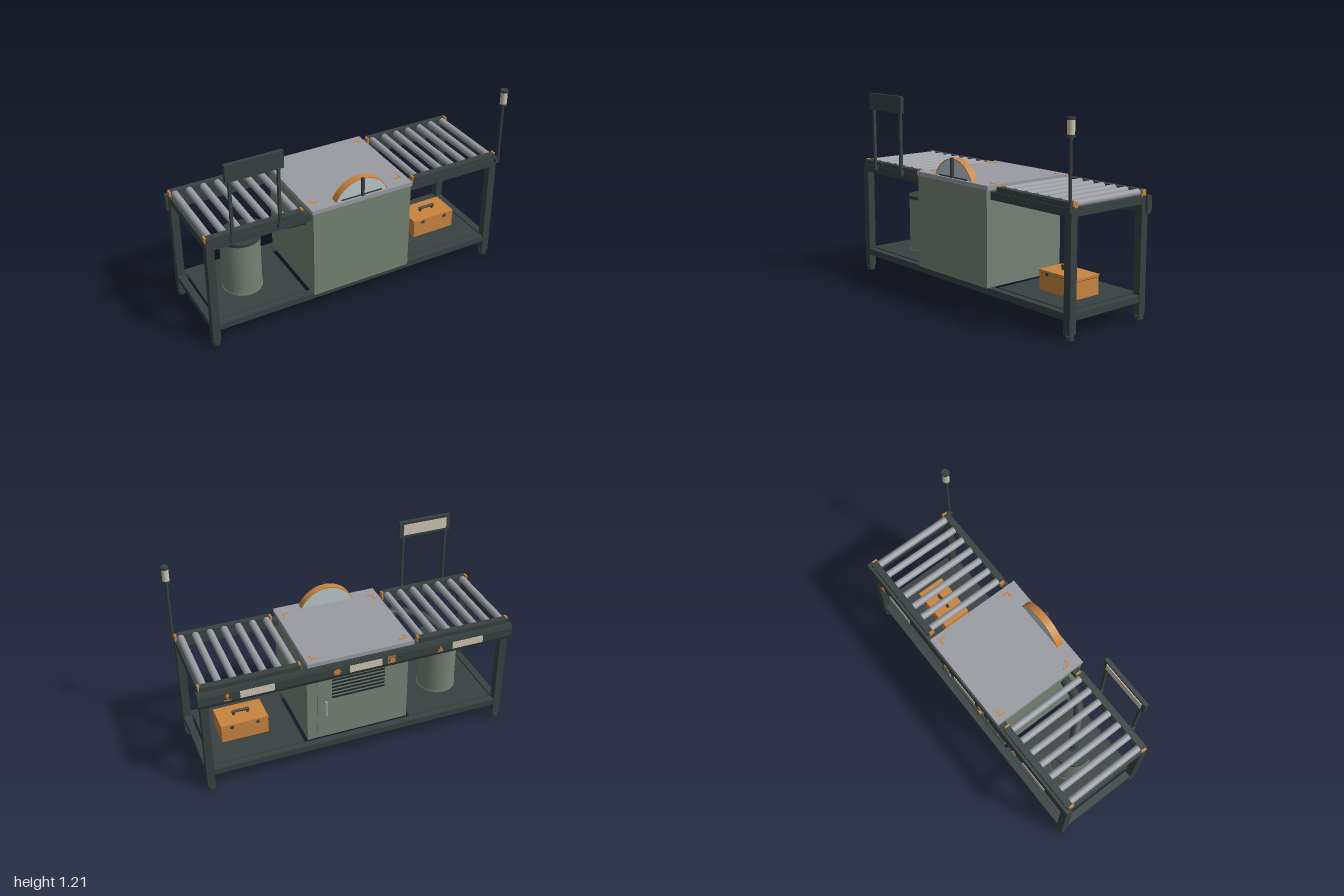
import * as THREE from 'three';

const mat = (name, color) => {
  const m = new THREE.MeshStandardMaterial({ color });
  m.name = name;
  return m;
};

export function createModel() {
  const M = {
    frame: mat('dark frame', 0x384141),
    green: mat('cabinet green', 0x768376),
    orange: mat('orange', 0xc8843f),
    steel: mat('steel grey', 0x9a9ca2),
    cream: mat('cream', 0xcfc6b4),
    glass: mat('pale guard', 0xbccace),
    black: mat('slot black', 0x23292b),
  };
  const root = new THREE.Group();
  const body = new THREE.Group();
  body.name = 'workstation';
  body.position.x = -0.007;
  root.add(body);

  const add = (name, geo, m, x = 0, y = 0, z = 0) => {
    const mesh = new THREE.Mesh(geo, m);
    mesh.name = name;
    mesh.position.set(x, y, z);
    body.add(mesh);
    return mesh;
  };
  // box given by its limits on each axis
  const box = (name, m, x0, x1, y0, y1, z0, z1) =>
    add(name, new THREE.BoxGeometry(x1 - x0, y1 - y0, z1 - z0), m, (x0 + x1) / 2, (y0 + y1) / 2, (z0 + z1) / 2);
  const cyl = (name, m, r, y0, y1, x, z, seg = 24) =>
    add(name, new THREE.CylinderGeometry(r, r, y1 - y0, seg), m, x, (y0 + y1) / 2, z);
  const extrude = (shape, depth, curveSegments = 24) =>
    new THREE.ExtrudeGeometry(shape, { depth, bevelEnabled: false, curveSegments });
  const poly = (pts) => new THREE.Shape(pts.map(([a, b]) => new THREE.Vector2(a, b)));

  // legs, feet, end rails and shelf panels
  for (const s of [-1, 1]) {
    const x = s * 0.955;
    for (const t of [-1, 1]) {
      const z = t * 0.278;
      box('leg', M.frame, x - 0.024, x + 0.024, 0.03, 0.725, z - 0.024, z + 0.024);
      cyl('foot', M.frame, 0.025, 0, 0.024, x, z);
      cyl('footStem', M.frame, 0.015, 0.02, 0.035, x, z, 12);
    }
    box('upperEndRail', M.frame, x - 0.022, x + 0.022, 0.677, 0.725, -0.255, 0.255);
    box('lowerEndRail', M.frame, x - 0.022, x + 0.022, 0.107, 0.147, -0.255, 0.255);
    const c = s * 0.635;
    box('shelf', M.frame, c - 0.285, c + 0.285, 0.138, 0.153, -0.256, 0.256);
  }
  // long rails
  for (const t of [-1, 1]) {
    const z = t * 0.278;
    box('upperLongRail', M.frame, -0.935, 0.935, 0.677, 0.725, z - 0.024, z + 0.024);
    box('lowerLongRail', M.frame, -0.935, 0.935, 0.107, 0.147, z - 0.022, z + 0.022);
  }

  // roller conveyors with side channels and orange end brackets
  for (const s of [-1, 1]) {
    const c = s * 0.673;
    for (const t of [-1, 1]) {
      const z = t * 0.277;
      box('rollerChannel', M.frame, c - 0.298, c + 0.298, 0.725, 0.755, z - 0.02, z + 0.02);
      for (const e of [-1, 1]) {
        const x = c + e * 0.299;
        box('channelBracket', M.orange, x - 0.006, x + 0.006, 0.71, 0.758, t * 0.269 - 0.016, t * 0.269 + 0.016);
      }
    }
    for (let i = 0; i < 7; i++) {
      const x = c + (i - 3) * 0.0895;
      add('roller', new THREE.CylinderGeometry(0.0215, 0.0215, 0.514, 20), M.steel, x, 0.739, 0).rotation.x = Math.PI / 2;
      add('rollerAxle', new THREE.CylinderGeometry(0.009, 0.009, 0.6, 8), M.frame, x, 0.74, 0).rotation.x = Math.PI / 2;
    }
  }

  // central cabinet and table top with corner marks
  box('cabinet', M.green, -0.328, 0.328, 0.156, 0.735, -0.255, 0.33);
  box('tableTop', M.steel, -0.337, 0.337, 0.734, 0.76, -0.308, 0.333);
  for (const s of [-1, 1]) for (const t of [-1, 1]) {
    const x = s * 0.305, z = -0.005 + t * 0.262;
    add('cornerMark', new THREE.BoxGeometry(0.045, 0.003, 0.01), M.orange, x - s * 0.0225, 0.7605, z - t * 0.005);
    add('cornerMark', new THREE.BoxGeometry(0.01, 0.003, 0.035), M.orange, x - s * 0.005, 0.7605, z - t * 0.0275);
  }

  // cabinet door on the back: panel, vent slots, handle
  box('cabinetDoor', M.green, -0.265, 0.265, 0.2, 0.625, -0.261, -0.254);
  for (let i = 0; i < 6; i++) {
    const y = 0.445 + i * 0.025;
    box('ventSlot', M.black, -0.17, 0.17, y - 0.006, y + 0.006, -0.264, -0.26);
  }
  box('doorHandle', M.steel, 0.205, 0.221, 0.33, 0.43, -0.283, -0.273);
  for (const y of [0.34, 0.42]) box('handleMount', M.steel, 0.207, 0.219, y - 0.008, y + 0.008, -0.275, -0.258);

  // arched guard: pale segment under an orange band, with a pull handle
  const R = 0.186, cy = 0.689, a0 = Math.asin((0.76 - cy) / R);
  const segment = new THREE.Shape();
  segment.absarc(0, 0, R - 0.005, a0, Math.PI - a0, false);
  add('guardPanel', extrude(segment, 0.044, 40), M.glass, 0, cy, 0.269);
  const band = new THREE.Shape();
  band.absarc(0, 0, R, a0, Math.PI - a0, false);
  band.absarc(0, 0, R - 0.006, Math.PI - a0, a0, true);
  add('guardBand', extrude(band, 0.048, 40), M.orange, 0, cy, 0.267);
  box('guardHandle', M.frame, -0.008, 0.008, 0.762, 0.882, 0.314, 0.331);
  box('guardSill', M.frame, -0.135, 0.135, 0.76, 0.768, 0.312, 0.317);

  // control panel along the back, facing -z
  const profile = poly([[0.282, 0.62], [0.31, 0.62], [0.321, 0.645], [0.321, 0.697], [0.314, 0.724], [0.282, 0.724]]);
  add('controlPanel', extrude(profile, 1.986).rotateY(Math.PI / 2), M.frame, -0.993, 0, 0);
  const zp = -0.324;
  for (const x of [0.645, -0.022, -0.69])
    box('labelPlate', M.cream, x - 0.1025, x + 0.1025, 0.647, 0.694, zp, zp + 0.005);
  const arrow = poly([[-0.005, -0.012], [0.005, -0.012], [0.005, 0.006], [0.015, 0.006], [0, 0.026], [-0.015, 0.006], [-0.005, 0.006]]);
  for (const [x, turn] of [[0.822, 0], [-0.508, Math.PI]]) {
    add('arrowMark', extrude(arrow, 0.004), M.orange, x, 0.672, zp).rotation.z = turn;
    box('arrowBase', M.orange, x - 0.02, x + 0.02, 0.647, 0.653, zp, zp + 0.004);
  }
  const teeth = [];
  for (let i = 0; i < 24; i++) {
    const r = i % 2 ? 0.016 : 0.026, a = (i / 24) * Math.PI * 2;
    teeth.push([r * Math.cos(a), r * Math.sin(a)]);
  }
  add('sawMark', extrude(poly(teeth), 0.004), M.orange, 0.16, 0.671, zp);
  const button = (name, m, x, r, len) => {
    add(name, new THREE.CylinderGeometry(r, r, len, 20), m, x, 0.672, -0.32 - len / 2).rotation.x = Math.PI / 2;
  };
  box('stopPlate', M.orange, -0.21, -0.16, 0.648, 0.696, zp, zp + 0.005);
  button('stopCollar', M.frame, -0.185, 0.021, 0.007);
  button('stopButton', M.orange, -0.185, 0.017, 0.016);
  button('startButton', M.frame, -0.255, 0.012, 0.012);

  // display board on two posts
  for (const x of [-0.823, -0.531]) {
    box('displayPost', M.frame, x - 0.008, x + 0.008, 0.71, 1.11, 0.305, 0.323);
    box('postBracket', M.frame, x - 0.014, x + 0.014, 0.705, 0.735, 0.29, 0.326);
  }
  box('displayBoard', M.frame, -0.85, -0.503, 1.1, 1.207, 0.307, 0.331);
  box('displayScreen', M.cream, -0.823, -0.53, 1.118, 1.189, 0.302, 0.308);

  // signal lamp on a pole
  const lx = 0.98, lz = 0.314;
  cyl('lampPole', M.frame, 0.009, 0.705, 1.11, lx, lz, 16);
  box('poleBracket', M.frame, lx - 0.02, lx + 0.008, 0.705, 0.735, 0.285, lz + 0.008);
  cyl('lampBase', M.frame, 0.024, 1.103, 1.118, lx, lz);
  cyl('lampLens', M.cream, 0.021, 1.117, 1.195, lx, lz);
  cyl('lampCap', M.frame, 0.024, 1.194, 1.208, lx, lz);

  // dust drum with lid and hose
  const dx = -0.659;
  cyl('dustDrum', M.green, 0.123, 0.153, 0.51, dx, 0.01, 40);
  cyl('drumRim', M.green, 0.126, 0.153, 0.165, dx, 0.01, 40);
  cyl('drumLid', M.frame, 0.129, 0.507, 0.528, dx, 0.01, 40);
  cyl('hoseCollar', M.frame, 0.038, 0.525, 0.545, dx, 0.01);
  const path = new THREE.CatmullRomCurve3([
    [dx, 0.53, 0.01], [dx, 0.58, 0.015], [-0.62, 0.608, 0.06], [-0.55, 0.628, 0.14], [-0.46, 0.634, 0.19], [-0.32, 0.634, 0.21],
  ].map((p) => new THREE.Vector3(...p)));
  add('dustHose', new THREE.TubeGeometry(path, 40, 0.032, 16), M.frame);

  // toolbox
  box('toolboxBase', M.orange, 0.524, 0.82, 0.153, 0.254, -0.084, 0.098);
  box('toolboxSeam', M.frame, 0.526, 0.818, 0.253, 0.259, -0.082, 0.096);
  box('toolboxLid', M.orange, 0.522, 0.822, 0.258, 0.274, -0.086, 0.1);
  for (const x of [0.59, 0.754]) for (const z of [-0.086, 0.1])
    box('toolboxLatch', M.frame, x - 0.01, x + 0.01, 0.244, 0.264, z - 0.004, z + 0.004);
  for (const x of [0.627, 0.717]) box('handlePost', M.frame, x - 0.007, x + 0.007, 0.273, 0.298, 0, 0.014);
  add('toolboxHandle', new THREE.CylinderGeometry(0.009, 0.009, 0.11, 12), M.frame, 0.672, 0.296, 0.007).rotation.z = Math.PI / 2;

  return root;
}
